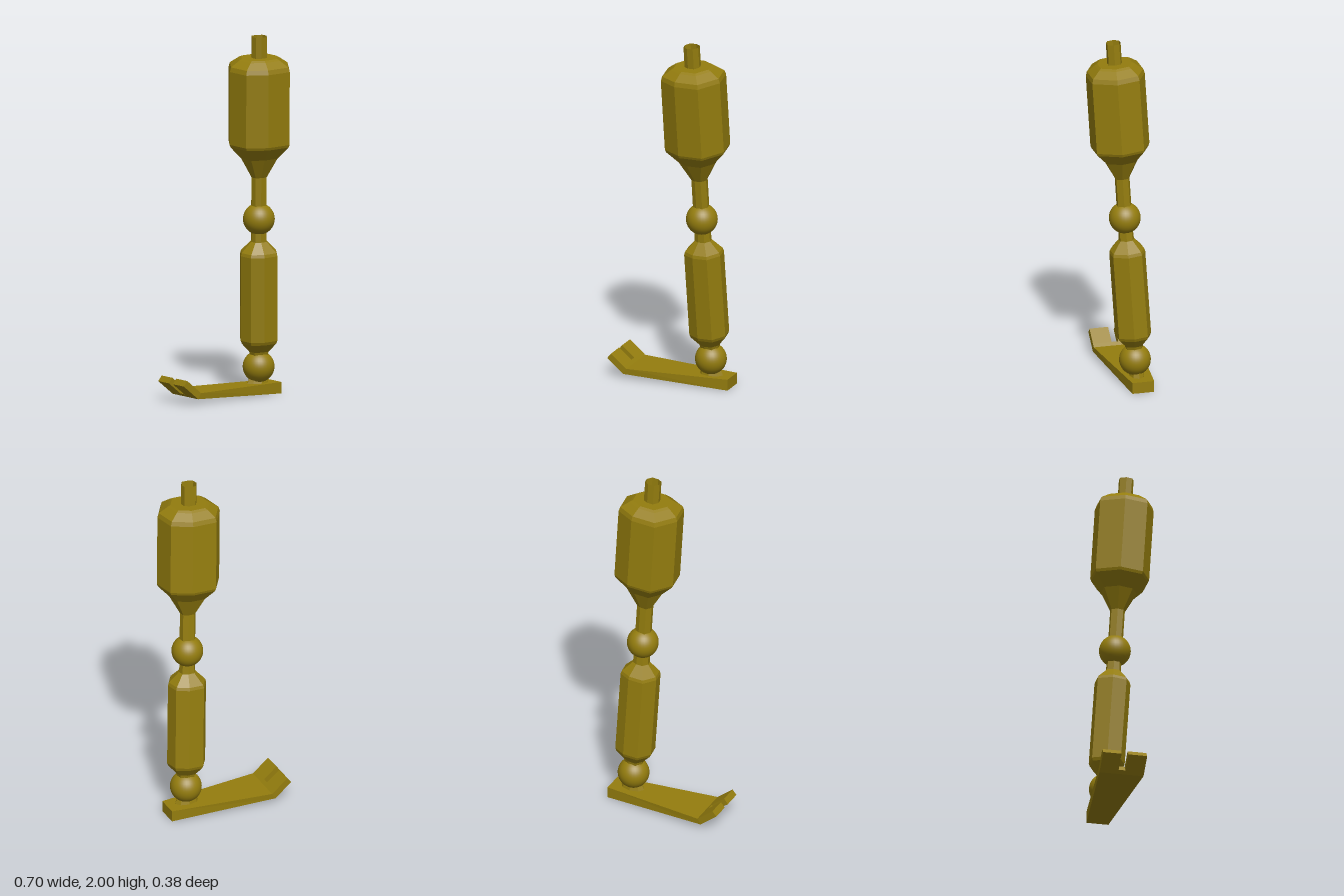
import * as THREE from 'three';

const flat = new THREE.MeshStandardMaterial({ color: 0x947d0e, flatShading: true });
const flatOpen = new THREE.MeshStandardMaterial({ color: 0x947d0e, flatShading: true, side: THREE.DoubleSide });
const smooth = new THREE.MeshStandardMaterial({ color: 0x947d0e });

// Skins a stack of rings; each ring runs counter-clockwise about the loft direction
function loft(name, rings, capStart = true, capEnd = true) {
  const pos = [];
  const tri = (...pts) => pts.forEach(p => pos.push(...p));
  const n = rings[0].length;
  for (let k = 0; k < rings.length - 1; k++) {
    const r = rings[k], s = rings[k + 1];
    for (let i = 0; i < n; i++) {
      const j = (i + 1) % n;
      tri(r[i], r[j], s[j]);
      tri(r[i], s[j], s[i]);
    }
  }
  const first = rings[0], last = rings[rings.length - 1];
  for (let i = 1; i < n - 1; i++) {
    if (capStart) tri(first[0], first[i + 1], first[i]);
    if (capEnd) tri(last[0], last[i], last[i + 1]);
  }
  const g = new THREE.BufferGeometry();
  g.setAttribute('position', new THREE.Float32BufferAttribute(pos, 3));
  g.computeVertexNormals();
  const mesh = new THREE.Mesh(g, capStart && capEnd ? flat : flatOpen);
  mesh.name = name;
  return mesh;
}

// Slightly irregular octagon shared by both limb segments (half, then its point mirror)
const half = [[-0.173, -0.032], [-0.152, 0.097], [-0.045, 0.155], [0.096, 0.155]];
const octagon = [...half, ...half.map(([x, z]) => [-x, -z])];
const limbRings = profile => profile.map(([y, s]) => octagon.map(([x, z]) => [x * s, y, z * s]));

// Group whose local +y points from one joint to the next
function limb(name, from, to) {
  const g = new THREE.Group();
  g.name = name;
  g.position.copy(from);
  g.quaternion.setFromUnitVectors(new THREE.Vector3(0, 1, 0), to.clone().sub(from).normalize());
  return g;
}

function joint(name, at) {
  const m = new THREE.Mesh(new THREE.SphereGeometry(0.087, 32, 20), smooth);
  m.name = name;
  m.position.copy(at);
  return m;
}

// Four-cornered foot section: top x,y, bottom x,y, z range
const section = ([xt, yt, xb, yb], z0, z1) => [[xb, yb, z0], [xb, yb, z1], [xt, yt, z1], [xt, yt, z0]];

export function createModel() {
  const model = new THREE.Group();
  model.name = 'leg';
  const hip = new THREE.Vector3(0.154, 2, 0.047);
  const knee = new THREE.Vector3(0.19, 0.98, -0.009);
  const ankle = new THREE.Vector3(0.222, 0.157, -0.058);

  // Thigh: thin shaft flaring into a heavy body, with an open stub on top
  const thigh = limb('thigh', knee, hip);
  thigh.add(loft('thighBody', limbRings([
    [0, 0.25], [0.235, 0.25], [0.345, 0.6], [0.413, 0.965], [0.428, 1],
    [0.835, 1], [0.86, 0.955], [0.893, 0.68], [0.902, 0.59],
  ])));
  thigh.add(loft('hipStub', limbRings([[0.89, 0.25], [1.019, 0.25]]), false, false));
  model.add(thigh, joint('kneeBall', knee));

  // Shin
  const shin = limb('shin', ankle, knee);
  shin.add(loft('shinBody', limbRings([
    [0.06, 0.28], [0.087, 0.32], [0.135, 0.57], [0.152, 0.61],
    [0.625, 0.61], [0.642, 0.58], [0.7, 0.26], [0.81, 0.23],
  ])));
  model.add(shin, joint('ankleBall', ankle));

  // Foot: tapering sole, rising web, two toes with a gap between them
  const foot = new THREE.Group();
  foot.name = 'foot';
  const heel = [0.342, 0.066, 0.342, 0.003];
  const bend = [-0.235, 0.062, -0.255, 0.03];
  const web = [-0.253, 0.077, -0.274, 0.046];
  const tip = [-0.327, 0.137, -0.35, 0.108];
  foot.add(loft('sole', [
    section(heel, -0.135, -0.012), section(bend, -0.193, 0.053), section(web, -0.193, 0.053),
  ]));
  for (const [name, z0, z1] of [['backToe', -0.193, -0.09], ['frontToe', -0.052, 0.053]]) {
    foot.add(loft(name, [section(web, z0, z1), section(tip, z0, z1)]));
  }
  // Flared pad under the ankle ball
  const pad = new THREE.Mesh(new THREE.CylinderGeometry(0.05, 0.072, 0.05, 8), flat);
  pad.name = 'anklePad';
  pad.scale.z = 0.6;
  pad.position.set(0.222, 0.083, -0.066);
  foot.add(pad);
  model.add(foot);
  return model;
}
